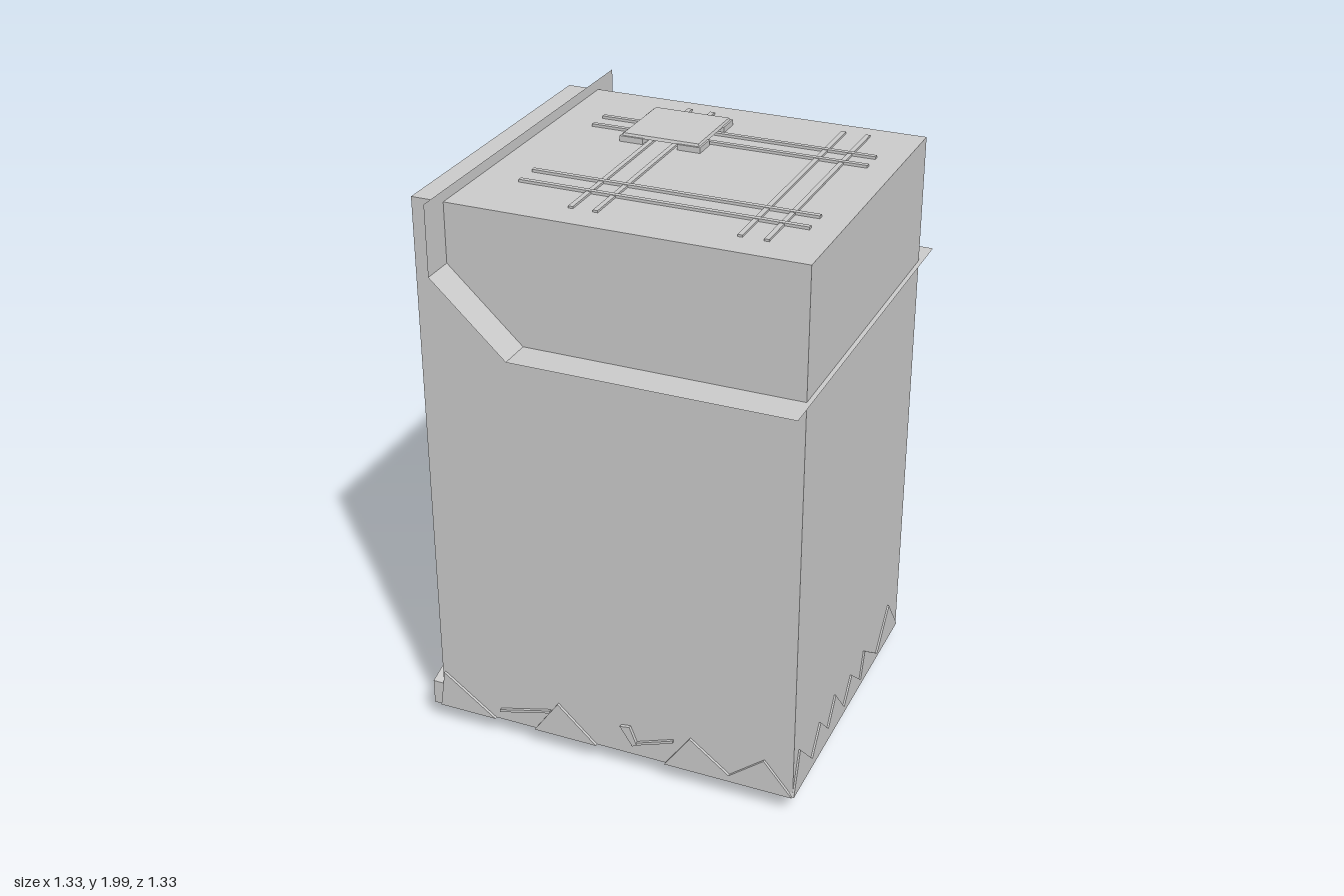
import * as THREE from 'three';

const mat = new THREE.MeshStandardMaterial({ color: 0xcccccc, flatShading: true });
const sheetMat = new THREE.MeshStandardMaterial({ color: 0xcccccc, flatShading: true, side: THREE.DoubleSide });

function add(parent, name, geometry, x = 0, y = 0, z = 0, material = mat) {
  const mesh = new THREE.Mesh(geometry, material);
  mesh.name = name;
  mesh.position.set(x, y, z);
  parent.add(mesh);
  return mesh;
}

// Box given by its limits
function block(parent, name, x0, x1, y0, y1, z0, z1) {
  return add(parent, name, new THREE.BoxGeometry(x1 - x0, y1 - y0, z1 - z0),
    (x0 + x1) / 2, (y0 + y1) / 2, (z0 + z1) / 2);
}

// Flat outline pushed outwards from a wall, partly sunk into it
function shard(parent, name, points, depth) {
  const shape = new THREE.Shape(points.map(p => new THREE.Vector2(...p)));
  const geo = new THREE.ExtrudeGeometry(shape, { depth: depth + 0.02, bevelEnabled: false });
  return add(parent, name, geo, 0, 0, -0.02);
}

// One group per wall: local x runs along the wall, local z points out of it
function wall(parent, name, x, z, turn) {
  const g = new THREE.Group();
  g.name = name;
  g.position.set(x, 0, z);
  g.rotation.y = turn;
  parent.add(g);
  return g;
}

function seeded(seed) {
  return () => (seed = (seed * 16807) % 2147483647) / 2147483647;
}

export function createModel() {
  const model = new THREE.Group();
  const X0 = -0.63, X1 = 0.65, Y0 = 0.08, Y1 = 1.965, Z0 = -0.55, Z1 = 0.545;

  block(model, 'body', X0, X1, Y0, Y1, Z0, Z1);

  // Thin folded sheet that cuts through the body near the top
  const ledge = new THREE.Group();
  ledge.name = 'foldedLedge';
  model.add(ledge);
  const path = [[-0.52, 2], [-0.52, 1.765], [-0.27, 1.53], [0.665, 1.53]];
  for (let i = 0; i < 3; i++) {
    const [ax, ay] = path[i], [bx, by] = path[i + 1];
    const geo = new THREE.PlaneGeometry(Math.hypot(bx - ax, by - ay), 1.325);
    geo.rotateX(-Math.PI / 2);
    geo.rotateZ(Math.atan2(by - ay, bx - ax));
    add(ledge, 'ledgePanel', geo, (ax + bx) / 2, (ay + by) / 2, -0.0025, sheetMat);
  }

  // Crossing bars on the roof
  const grille = new THREE.Group();
  grille.name = 'roofGrille';
  model.add(grille);
  for (const x of [-0.148, -0.067, 0.393, 0.475])
    block(grille, 'lengthBar', x - 0.008, x + 0.008, Y1 - 0.01, 1.972, -0.477, 0.44);
  for (const z of [-0.303, -0.222, 0.216, 0.306])
    block(grille, 'crossBar', -0.385, 0.56, Y1 - 0.01, 1.974, z - 0.008, z + 0.008);

  // Raised square plate standing on four corner feet
  const cap = new THREE.Group();
  cap.name = 'roofPlate';
  model.add(cap);
  const top = new THREE.BoxGeometry(0.268, 0.01, 0.268);
  const pos = top.attributes.position;
  for (let i = 0; i < pos.count; i++)
    if (pos.getY(i) > 0) { pos.setX(i, pos.getX(i) * 0.97); pos.setZ(i, pos.getZ(i) * 0.97); }
  add(cap, 'plateTop', top, -0.106, 1.987, -0.266);
  for (const sx of [-1, 1]) for (const sz of [-1, 1])
    add(cap, 'plateFoot', new THREE.BoxGeometry(0.08, 0.026, 0.08),
      -0.106 + sx * 0.1, 1.971, -0.266 + sz * 0.1);

  // Tilted slab under the back corner
  const slab = block(model, 'cornerSlab', -0.632, -0.235, 0.01, 0.1, -0.56, -0.16);
  slab.rotation.set(-0.05, 0, 0.025);
  slab.position.y = 0.067;

  // Broken pieces round the foot: start, peak, peak height, end
  const front = wall(model, 'frontRubble', 0, Z1, 0);
  const side = wall(model, 'sideRubble', X1, 0, Math.PI / 2);
  const back = wall(model, 'backRubble', 0, Z0, Math.PI);
  const rubble = [
    [front, 0.01, [[-0.64, -0.62, 0.22, -0.43], [-0.28, -0.19, 0.21, -0.05],
      [0.2, 0.29, 0.21, 0.46], [0.4, 0.55, 0.2, 0.65]]],
    [side, 0.006, [[-0.55, -0.5, 0.24, -0.34], [-0.4, -0.3, 0.21, -0.17], [-0.25, -0.15, 0.22, -0.03],
      [-0.07, 0.02, 0.19, 0.15], [0.12, 0.16, 0.2, 0.33], [0.3, 0.43, 0.225, 0.54]]],
    [back, 0.005, [[-0.64, -0.52, 0.16, -0.35], [-0.3, -0.2, 0.13, -0.02]]],
  ];
  for (const [g, depth, list] of rubble)
    for (const [a, p, h, b] of list)
      shard(g, 'brokenPiece', [[a, Y0], [b, Y0], [p, h]], depth);

  // Narrow slivers across the front
  shard(front, 'sliver', [[-0.41, 0.115], [-0.22, 0.165], [-0.22, 0.175], [-0.41, 0.125]], 0.01);
  shard(front, 'sliver', [[0.04, 0.19], [0.085, 0.12], [0.1, 0.13], [0.075, 0.195]], 0.012);
  shard(front, 'sliver', [[0.08, 0.12], [0.23, 0.175], [0.23, 0.185], [0.08, 0.13]], 0.01);

  // Flat board and tall splinter on the back
  shard(back, 'backBoard', [[0.02, 0.18], [0.05, 0.1], [0.5, 0.1], [0.47, 0.2]], 0.004);
  shard(back, 'tallSplinter', [[0.4, Y0], [0.63, 0.06], [0.62, 0.37]], 0.016);

  // Larger leaning boards on the other side: foot start, foot end, lean, height, depth
  const boards = wall(model, 'leaningBoards', X0, 0, -Math.PI / 2);
  for (const [a, b, lean, h, d] of [
    [-0.55, -0.46, 0.12, 0.4, 0.015], [-0.44, -0.34, 0.14, 0.29, 0.036],
    [-0.26, -0.16, 0.13, 0.3, 0.036], [-0.06, 0.03, 0.12, 0.26, 0.036],
    [0.16, 0.26, 0.14, 0.23, 0.03], [0.38, 0.55, 0, 0.22, 0.038]])
    shard(boards, 'leaningBoard',
      [[a, Y0], [b, Y0], [b + lean, h - 0.05], [a + lean, h]], d);

  // Splinters scattered over the underside
  const rnd = seeded(17);
  for (let i = 0; i < 36; i++) {
    const s = add(model, 'undersideSplinter',
      new THREE.BoxGeometry(0.14 + 0.14 * rnd(), 0.012, 0.012),
      X0 + 0.14 + rnd() * 1.0, 0.081, Z0 + 0.14 + rnd() * 0.81);
    s.rotation.y = rnd() * Math.PI;
  }
  return model;
}
